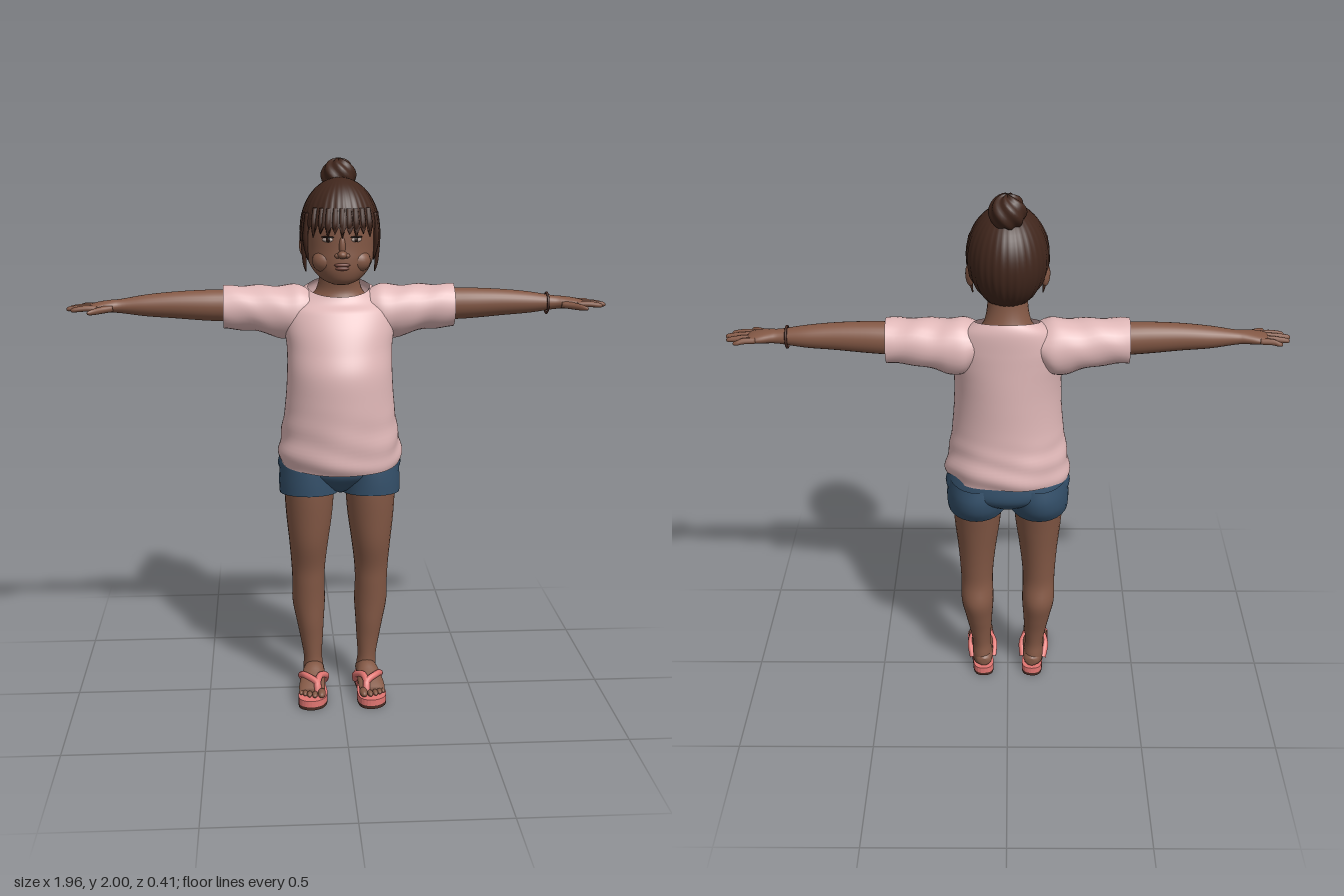
import * as THREE from 'three';

const mat = (name, color, side = THREE.FrontSide) => {
  const m = new THREE.MeshStandardMaterial({ color, side });
  m.name = name;
  return m;
};

// Smooth in-between of cross-section rows
function sample(rows, t) {
  const n = rows.length - 1, f = Math.min(t * n, n - 1e-6), i = Math.floor(f), u = f - i;
  const p = k => rows[Math.max(0, Math.min(n, k))];
  return rows[i].map((_, c) => {
    const a = p(i - 1)[c], b = p(i)[c], d = p(i + 1)[c], e = p(i + 2)[c];
    return b + 0.5 * u * (d - a + u * (2 * a - 5 * b + 4 * d - e + u * (3 * (b - d) + e - a)));
  });
}

// Skin a closed grid of rings; point(v, angle) returns [x, y, z]
function skin(point, steps, seg, flip, caps = false) {
  const pos = [], idx = [];
  const tri = (a, b, c) => flip ? idx.push(a, c, b) : idx.push(a, b, c);
  for (let i = 0; i <= steps; i++)
    for (let j = 0; j < seg; j++) pos.push(...point(i / steps, j / seg * Math.PI * 2));
  for (let i = 0; i < steps; i++)
    for (let j = 0; j < seg; j++) {
      const a = i * seg + j, b = i * seg + (j + 1) % seg;
      tri(a, b, a + seg); tri(b, b + seg, a + seg);
    }
  if (caps) for (const i of [0, steps]) {
    const c = [0, 0, 0], k = pos.length / 3;
    for (let j = 0; j < seg; j++) for (let q = 0; q < 3; q++) c[q] += pos[(i * seg + j) * 3 + q] / seg;
    pos.push(...c);
    for (let j = 0; j < seg; j++) {
      const a = i * seg + j, b = i * seg + (j + 1) % seg;
      if (i) tri(a, b, k); else tri(b, a, k);
    }
  }
  const g = new THREE.BufferGeometry();
  g.setAttribute('position', new THREE.Float32BufferAttribute(pos, 3));
  g.setIndex(idx);
  g.computeVertexNormals();
  return g;
}

// Loft of ellipses; row = [position on axis, centre a, centre b, radius a, radius b]
function loft(axis, rows, { side = 1, seg = 28, steps = rows.length * 4, caps = true, shape = p => p } = {}) {
  const flip = (axis === 'y') !== (rows.at(-1)[0] < rows[0][0]) !== (side < 0);
  return skin((v, th) => {
    const [t, ca, cb, ra, rb] = sample(rows, v);
    const a = ca + ra * Math.cos(th), b = cb + rb * Math.sin(th);
    const p = axis === 'y' ? [a, t, b] : axis === 'x' ? [t, a, b] : [a, b, t];
    const q = shape(p, th);
    return [q[0] * side, q[1], q[2]];
  }, steps, seg, flip, caps);
}

export function createModel() {
  const model = new THREE.Group();
  model.name = 'girl';
  const M = {
    skin: mat('skin', 0x835845), hair: mat('hair', 0x40261c, THREE.DoubleSide),
    shirt: mat('shirt pink', 0xe0b8b8, THREE.DoubleSide), denim: mat('denim', 0x34506a, THREE.DoubleSide),
    coral: mat('sandal coral', 0xe27672), sole: mat('dark sole', 0x4a2c24),
    lips: mat('lips', 0x74453b), white: mat('eye white', 0xb9a59b), iris: mat('iris', 0x24150f),
  };
  const add = (name, g, m, parent = model) => {
    const o = new THREE.Mesh(g, m);
    o.name = name;
    parent.add(o);
    return o;
  };
  const ball = (name, m, [x, y, z], [a, b, c], parent = model) => {
    const o = add(name, new THREE.SphereGeometry(1, 20, 14), m, parent);
    o.position.set(x, y, z);
    o.scale.set(a, b, c);
    return o;
  };

  // Head and neck
  add('head', loft('y', [
    [1.573, 0, .07, .03, .03], [1.588, 0, .052, .066, .07], [1.62, 0, .022, .099, .112], [1.66, 0, .003, .118, .133],
    [1.7, 0, -.01, .124, .144], [1.76, 0, -.015, .127, .149], [1.82, 0, -.015, .122, .146],
    [1.88, 0, -.015, .092, .11], [1.915, 0, -.015, .04, .05]], { seg: 40 }), M.skin);
  add('neck', loft('y', [
    [1.43, 0, -.07, .13, .1], [1.5, 0, -.075, .11, .088], [1.54, 0, -.068, .082, .07],
    [1.6, 0, -.055, .07, .066], [1.68, 0, -.05, .07, .066]]), M.skin);

  // Face
  ball('noseTip', M.skin, [0, 1.682, .137], [.017, .014, .023]);
  ball('noseBridge', M.skin, [0, 1.71, .128], [.012, .038, .014]);
  ball('upperLip', M.lips, [0, 1.646, .133], [.028, .007, .01]);
  ball('lowerLip', M.lips, [0, 1.634, .13], [.025, .008, .011]);
  ball('chin', M.skin, [0, 1.598, .098], [.034, .022, .026]);
  for (const s of [1, -1]) {
    ball('nostril', M.skin, [s * .016, 1.678, .131], [.011, .009, .013]);
    ball('cheek', M.skin, [s * .058, 1.655, .082], [.045, .04, .04]);
    ball('eye', M.white, [s * .05, 1.733, .121], [.02, .009, .008]).rotation.y = s * .35;
    ball('iris', M.iris, [s * .049, 1.733, .1265], [.009, .0085, .004]).rotation.y = s * .35;
    ball('upperLid', M.iris, [s * .05, 1.742, .122], [.023, .0035, .009]).rotation.y = s * .35;
    ball('ear', M.skin, [s * .129, 1.7, -.045], [.014, .04, .027]).rotation.y = s * .35;
  }

  // Hair cap: grooved shell with a jagged fringe and a long nape
  const hem = th => {
    const front = Math.sin(th), jag = Math.abs(((th * 17 / Math.PI) % 1) - .5);
    if (front > .35) return 1.752 + .05 * jag + .02 * (1 - front);
    return front > -.15 ? 1.765 - .03 * (.35 - front) : 1.75 - .135 * Math.min(1, (-.15 - front) / .5);
  };
  add('hairCap', skin((v, th) => {
    const phi = .02 + v * (Math.acos((hem(th) - 1.76) / .178) - .02), r = Math.sin(phi);
    const k = 1 + .014 * v * Math.sin(th * 34) + .008 * v * Math.sin(th * 13);
    return [.141 * r * k * Math.cos(th), 1.76 + .178 * Math.cos(phi), -.02 + .171 * r * k * Math.sin(th)];
  }, 24, 136, false), M.hair);
  for (const s of [1, -1])
    for (const [z, x, low] of [[.055, .122, 1.655], [.03, .128, 1.61], [.008, .131, 1.665]])
      add('sideLock', loft('y', [
        [low, x - .006, z - .012, .002, .002], [low + .04, x, z - .006, .007, .01],
        [1.74, x + .003, z, .01, .016], [1.82, x - .004, z, .008, .016]], { side: s, seg: 10 }), M.hair);
  // Fringe strands
  for (let i = -4; i <= 4; i++) {
    const x = i * .024, z = -.02 + .166 * Math.sqrt(1 - (x / .141) ** 2), low = 1.738 + .014 * (i & 1);
    add('fringeStrand', loft('y', [
      [low, x * 1.04, z - .008, .001, .001], [1.785, x, z, .011, .006], [1.84, x * .95, z - .012, .009, .005]],
    { seg: 8 }), M.hair);
  }
  // Top knot with twisted strands
  add('hairBun', skin((v, th) => {
    const phi = .01 + v * 3.12, k = .06 + .0035 * Math.sin(th * 6 + phi * 5);
    return [k * 1.02 * Math.sin(phi) * Math.cos(th), 1.94 + k * .98 * Math.cos(phi), -.095 + k * 1.05 * Math.sin(phi) * Math.sin(th)];
  }, 20, 40, false), M.hair);

  // Shirt body: tilted hem and collar, soft folds near the waist
  add('shirtBody', loft('y', [
    [.905, 0, -.025, .222, .174], [.95, 0, -.022, .227, .183], [1.05, 0, -.015, .21, .178], [1.15, 0, -.012, .198, .176],
    [1.25, 0, -.015, .192, .174], [1.33, 0, -.03, .192, .16], [1.4, 0, -.045, .2, .145],
    [1.46, 0, -.062, .197, .128], [1.51, 0, -.078, .165, .11], [1.543, 0, -.08, .113, .094]], {
    caps: false, seg: 64, steps: 60, shape: ([x, y, z], th) => {
      const low = THREE.MathUtils.smoothstep(1.15 - y, 0, .2), high = THREE.MathUtils.smoothstep(y, 1.46, 1.54);
      const k = 1 + low * (.018 * Math.sin(y * 62 + 2 * Math.sin(th * 2)) + .012 * Math.sin(th * 7 + y * 9));
      return [x * k, y - low * z * .13 - high * (z + .08) * .28, z * k];
    } }), M.shirt);

  for (const s of [1, -1]) {
    // Sleeves, arms and hands
    add('sleeve', loft('x', [
      [.11, 1.465, -.08, .072, .085], [.15, 1.452, -.08, .098, .1], [.2, 1.452, -.08, .098, .098], [.25, 1.458, -.08, .09, .093],
      [.33, 1.468, -.079, .082, .085], [.42, 1.47, -.078, .079, .08]], {
      side: s, caps: false, shape: ([x, y, z], th) => [x, y + .003 * Math.sin(x * 50 + th * 2), z] }), M.shirt);
    add('arm', loft('x', [
      [.28, 1.475, -.08, .06, .055], [.42, 1.478, -.075, .058, .053], [.5, 1.48, -.072, .055, .051], [.6, 1.482, -.07, .048, .046],
      [.7, 1.481, -.07, .039, .04], [.785, 1.48, -.068, .026, .03], [.82, 1.48, -.066, .023, .034],
      [.86, 1.478, -.064, .02, .043], [.893, 1.476, -.065, .014, .042], [.903, 1.476, -.065, .006, .036]], { side: s }), M.skin);
    [[-.1, -.112, .947], [-.077, -.082, .975], [-.053, -.052, .982], [-.031, -.024, .964]].forEach(([z0, z1, tip]) =>
      add('finger', loft('x', [
        [.87, 1.477, z0, .01, .011], [.91, 1.478, z0 * .6 + z1 * .4, .011, .0115], [tip - .015, 1.474, z1, .009, .009],
        [tip - .003, 1.472, z1, .006, .006], [tip, 1.472, z1, .001, .001]], { side: s, seg: 10 }), M.skin));
    add('thumb', loft('x', [
      [.815, 1.475, -.045, .013, .018], [.85, 1.473, -.022, .013, .016], [.88, 1.47, .004, .011, .012],
      [.897, 1.468, .017, .007, .007], [.902, 1.468, .02, .001, .001]], { side: s, seg: 12 }), M.skin);

    // Shorts leg and bare leg
    add('shortsLeg', loft('y', [
      [.785, .115, -.024, .109, .127], [.83, .115, -.037, .111, .142], [.88, .113, -.043, .11, .147], [.93, .11, -.043, .108, .14]],
    { side: s, caps: false, shape: ([x, y, z]) => [x, y + (z + .024) * .1, z] }), M.denim);
    add('leg', loft('y', [
      [.88, .114, -.02, .094, .115], [.8, .114, -.02, .093, .118], [.7, .115, -.015, .086, .106], [.6, .117, -.013, .074, .092],
      [.5, .119, -.02, .064, .073], [.43, .119, -.023, .061, .068], [.35, .118, -.035, .062, .073], [.27, .113, -.028, .052, .062],
      [.2, .108, -.022, .043, .049], [.13, .104, -.018, .035, .042], [.085, .102, -.018, .038, .047], [.045, .102, -.02, .036, .05]],
    { side: s }), M.skin);

    // Foot and toes
    const foot = new THREE.Group();
    foot.name = s > 0 ? 'leftFoot' : 'rightFoot';
    foot.position.x = s * .1;
    foot.rotation.y = s * .08;
    model.add(foot);
    add('footBody', loft('z', [
      [-.072, 0, .06, .01, .014], [-.062, 0, .06, .028, .024], [-.03, 0, .068, .037, .034], [.03, 0, .078, .041, .04],
      [.08, .002, .066, .047, .03], [.125, .003, .054, .049, .019], [.148, .003, .048, .044, .012]], { side: s }), M.skin, foot);
    [[-.035, .165, .015], [-.01, .168, .0105], [.01, .163, .01], [.027, .154, .0095], [.042, .143, .009]].forEach(([x, z, r]) =>
      ball('toe', M.skin, [s * x, .036 + r, z], [r, r, r * 2], foot));

    // Sandal: dark outsole, coral footbed, thong straps
    const outline = new THREE.Shape();
    outline.moveTo(0, -.082);
    outline.bezierCurveTo(.055, -.082, .036, -.02, .042, .03);
    outline.bezierCurveTo(.05, .09, .062, .12, .05, .165);
    outline.bezierCurveTo(.035, .215, -.035, .222, -.05, .175);
    outline.bezierCurveTo(-.06, .12, -.042, .08, -.038, .03);
    outline.bezierCurveTo(-.036, -.02, -.055, -.082, 0, -.082);
    const slab = (name, y, h, m) => {
      const g = new THREE.ExtrudeGeometry(outline, { depth: h, bevelEnabled: false, curveSegments: 10 });
      g.rotateX(Math.PI / 2).translate(0, y + h, 0);
      add(name, g, m, foot);
    };
    slab('outsole', 0, .012, M.sole);
    slab('footbed', .012, .024, M.coral);
    for (const q of [1, -1]) {
      const path = new THREE.CatmullRomCurve3([[-.02 * s, .045, .15], [-.018 * s, .076, .132], [q * .026, .09, .095],
        [q * .047, .07, .045], [q * .041, .03, .0]].map(p => new THREE.Vector3(...p)));
      add('strap', new THREE.TubeGeometry(path, 20, .0125, 8), M.coral, foot);
    }
  }

  // Seat of the shorts
  add('shortsSeat', loft('y', [
    [.795, 0, -.03, .02, .07], [.825, 0, -.038, .11, .11], [.87, 0, -.043, .22, .147], [.93, 0, -.042, .222, .147],
    [1, 0, -.03, .2, .14]], { seg: 36 }), M.denim);

  // Bracelet on the left wrist
  const bracelet = add('bracelet', new THREE.TorusGeometry(.037, .0045, 8, 28), M.sole);
  bracelet.position.set(.765, 1.478, -.068);
  bracelet.rotation.set(0, Math.PI / 2, .1);

  return model;
}
